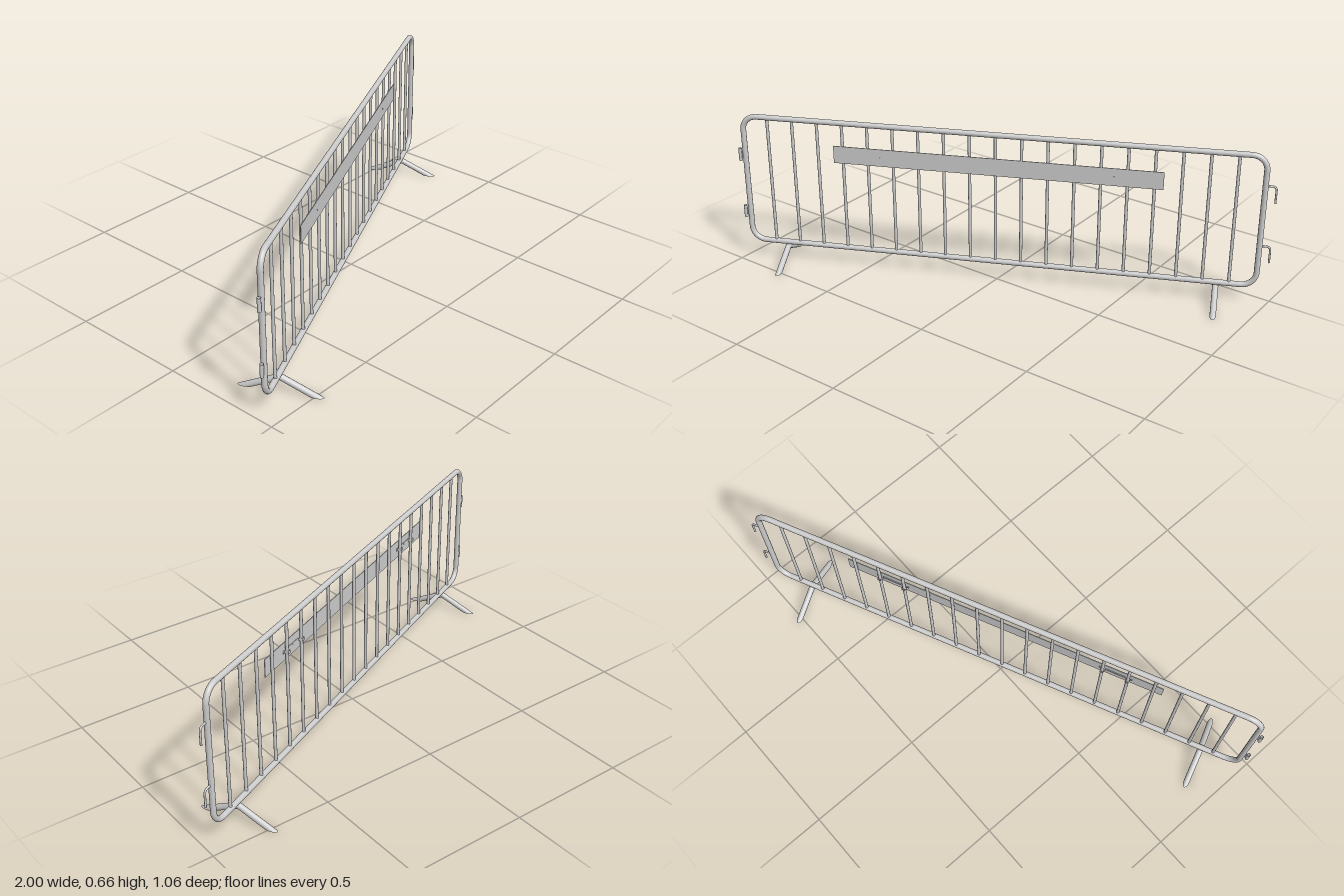
import * as THREE from 'three';

const material = new THREE.MeshStandardMaterial({ color: 0xcccccc, side: THREE.DoubleSide });
const HALF = 1.0635, TOP = 0.648, BOTTOM = 0.082, R = 0.0115, CORNER = 0.06;

function add(parent, name, geometry, x = 0, y = 0, z = 0) {
  const mesh = new THREE.Mesh(geometry, material);
  mesh.name = name;
  mesh.position.set(x, y, z);
  parent.add(mesh);
  return mesh;
}

// Rounded rectangular tube: four straight rails and four quarter bends
function createFrame() {
  const frame = new THREE.Group();
  frame.name = 'frame';
  const midY = (TOP + BOTTOM) / 2;
  for (const y of [TOP, BOTTOM]) {
    const rail = new THREE.CylinderGeometry(R, R, 2 * (HALF - CORNER), 16, 1, true).rotateZ(Math.PI / 2);
    add(frame, y === TOP ? 'topRail' : 'bottomRail', rail, 0, y);
  }
  for (const s of [-1, 1]) {
    add(frame, 'sidePost', new THREE.CylinderGeometry(R, R, TOP - BOTTOM - 2 * CORNER, 16, 1, true), s * HALF, midY);
  }
  const corners = [[1, TOP - CORNER], [-1, TOP - CORNER], [-1, BOTTOM + CORNER], [1, BOTTOM + CORNER]];
  corners.forEach(([s, y], i) => {
    const bend = new THREE.TorusGeometry(CORNER, R, 16, 10, Math.PI / 2).rotateZ(i * Math.PI / 2);
    add(frame, 'cornerBend', bend, s * (HALF - CORNER), y);
  });
  return frame;
}

// Sloping leg: a tube mitred at the centre plane (z = 0) and cut flat on the ground (y = 0)
function legGeometry(side) {
  const apexY = 0.062, reach = 0.134;
  const axis = new THREE.Vector3(0, -apexY, side * reach).normalize();
  const up = new THREE.Vector3(0, reach, side * apexY).normalize();
  const geometry = new THREE.CylinderGeometry(0.0125, 0.0125, 1, 16, 1);
  const pos = geometry.attributes.position, nor = geometry.attributes.normal;
  const p = new THREE.Vector3(), n = new THREE.Vector3();
  for (let i = 0; i < pos.count; i++) {
    const atApex = pos.getY(i) > 0;
    p.set(side * pos.getX(i), apexY, 0).addScaledVector(up, pos.getZ(i));
    p.addScaledVector(axis, atApex ? -p.z / axis.z : -p.y / axis.y);
    pos.setXYZ(i, p.x, p.y, p.z);
    if (nor.getY(i) === 0 || Math.abs(nor.getY(i)) < 0.5) {
      n.set(side * nor.getX(i), 0, 0).addScaledVector(up, nor.getZ(i));
    } else if (atApex) n.set(0, 0, -side);
    else n.set(0, -1, 0);
    nor.setXYZ(i, n.x, n.y, n.z);
  }
  return geometry;
}

// Strap behind the sign, humped over two neighbouring bars
function clipGeometry() {
  const outline = [[-0.07, 0], [-0.062, 0], [-0.06, -0.017], [-0.046, -0.017], [-0.042, 0],
    [0.042, 0], [0.046, -0.017], [0.06, -0.017], [0.062, 0], [0.07, 0]];
  const shape = new THREE.Shape();
  outline.forEach(([x, y], i) => (i ? shape.lineTo(x, y) : shape.moveTo(x, y)));
  [...outline].reverse().forEach(([x, y]) => shape.lineTo(x, y - 0.002));
  shape.closePath();
  const geometry = new THREE.ExtrudeGeometry(shape, { depth: 0.012, bevelEnabled: false });
  return geometry.translate(0, 0, -0.006).rotateX(Math.PI / 2);
}

// Rod leaving the post and bending down
function hookGeometry() {
  const path = new THREE.CurvePath();
  const v = (x, y) => new THREE.Vector3(x, y, 0);
  path.add(new THREE.LineCurve3(v(0.005, 0), v(0.026, 0)));
  path.add(new THREE.QuadraticBezierCurve3(v(0.026, 0), v(0.043, 0), v(0.043, -0.017)));
  path.add(new THREE.LineCurve3(v(0.043, -0.017), v(0.043, -0.071)));
  return new THREE.TubeGeometry(path, 28, 0.0042, 10, false);
}

export function createModel() {
  const model = new THREE.Group();
  model.name = 'barrier';
  const body = new THREE.Group();
  body.name = 'barrierBody';
  body.position.x = -0.008;
  body.rotation.y = 0.434;
  model.add(body);

  body.add(createFrame());

  // Upright bars
  for (let i = -9; i <= 9; i++) {
    const bar = new THREE.CylinderGeometry(0.0066, 0.0066, TOP - BOTTOM, 12, 1, true);
    add(body, 'bar', bar, i * HALF / 10, (TOP + BOTTOM) / 2);
  }

  // Sign plate with its clips and bolts
  add(body, 'signPlate', new THREE.BoxGeometry(1.349, 0.075, 0.003), 0, 0.5125, 0.0102);
  for (const s of [-1, 1]) {
    const x = s * HALF * 0.45;
    const clip = add(body, 'signClip', clipGeometry(), x, 0.5125, 0.0085);
    clip.geometry.rotateX(0);
    add(body, 'signBolt', new THREE.CylinderGeometry(0.003, 0.003, 0.008, 10).rotateX(Math.PI / 2), x, 0.5125, 0.0092);
  }

  // Feet: a pair of splayed legs under each end
  for (const s of [-1, 1]) {
    const foot = new THREE.Group();
    foot.name = 'foot';
    foot.position.x = s * 0.906;
    for (const side of [-1, 1]) add(foot, 'leg', legGeometry(side));
    body.add(foot);
  }

  // Coupling hooks on the left end, sleeves on the right end
  for (const y of [0.523, 0.262]) add(body, 'hook', hookGeometry(), HALF, y);
  for (const y of [0.474, 0.212]) {
    add(body, 'sleeve', new THREE.CylinderGeometry(0.0075, 0.0075, 0.055, 12, 1, true), -HALF - 0.0225, y);
    add(body, 'sleeveWeld', new THREE.BoxGeometry(0.012, 0.03, 0.006), -HALF - 0.012, y);
  }
  return model;
}
